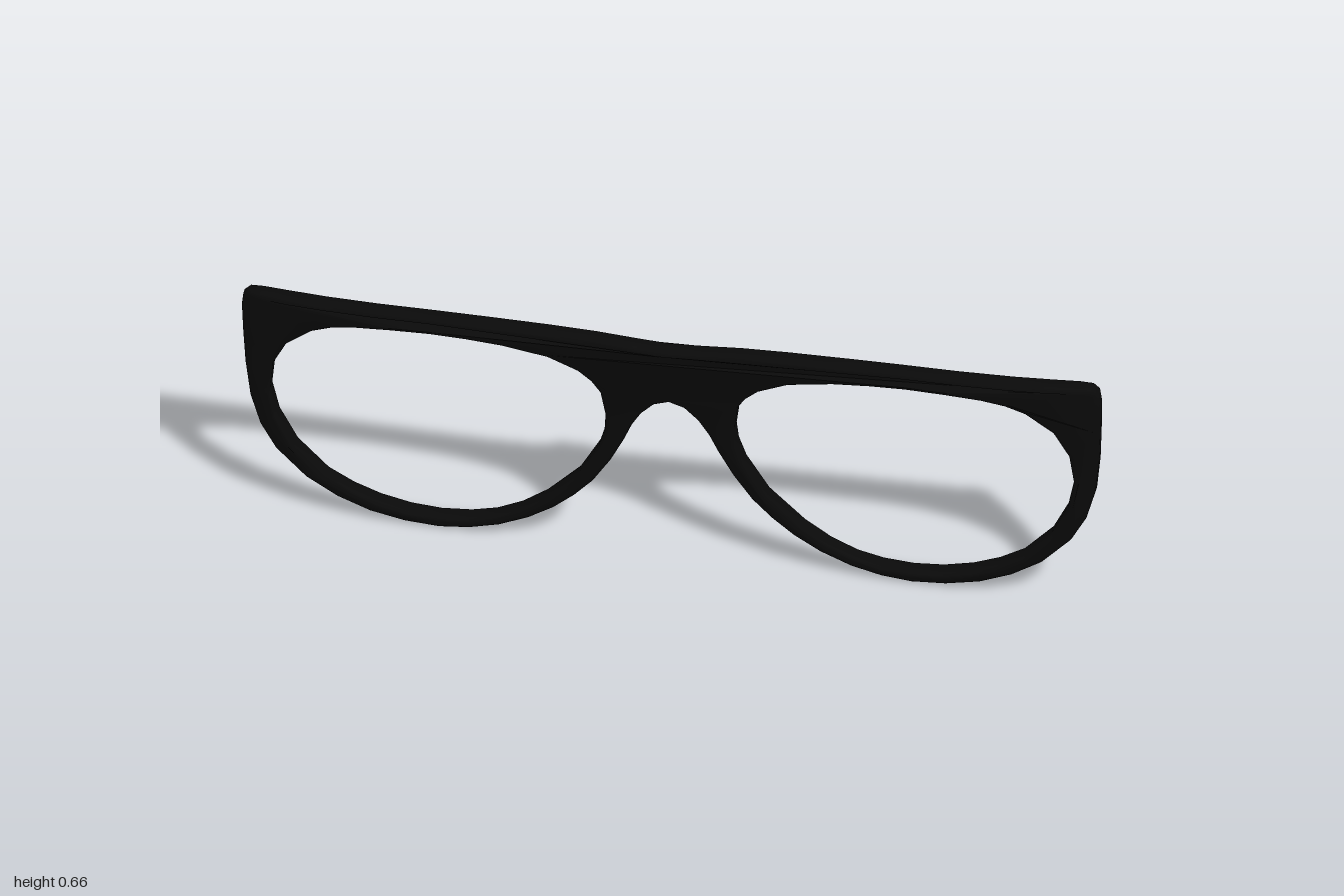
import * as THREE from 'three';
import { toCreasedNormals } from 'three/addons/utils/BufferGeometryUtils.js';

const material = new THREE.MeshStandardMaterial({ color: 0x0a0a0a });

// Right half of the outer outline, from the top centre round to the bridge arch
const OUTLINE = [
  [0, 0.643], [0.07, 0.647], [0.17, 0.655], [0.28, 0.659], [0.42, 0.661], [0.55, 0.662],
  [0.68, 0.661], [0.8, 0.658], [0.89, 0.654], [0.95, 0.651], [0.982, 0.647], [0.996, 0.632],
  [1, 0.6], [0.998, 0.52], [0.994, 0.43], [0.984, 0.335], [0.962, 0.255], [0.926, 0.187],
  [0.857, 0.11], [0.785, 0.06], [0.71, 0.026], [0.63, 0.007], [0.55, 0.001], [0.48, 0.009],
  [0.41, 0.029], [0.34, 0.063], [0.28, 0.105], [0.23, 0.152], [0.185, 0.205], [0.143, 0.275],
  [0.11, 0.345], [0.09, 0.395], [0.066, 0.437], [0.035, 0.471], [0, 0.484],
];

// Lens opening on the same side
const LENS = [
  [0.15, 0.42], [0.16, 0.49], [0.18, 0.522], [0.21, 0.55], [0.28, 0.583], [0.385, 0.602],
  [0.47, 0.609], [0.555, 0.612], [0.645, 0.609], [0.73, 0.602], [0.785, 0.59], [0.83, 0.57],
  [0.893, 0.515], [0.927, 0.445], [0.936, 0.365], [0.92, 0.285], [0.88, 0.2], [0.81, 0.12],
  [0.752, 0.083], [0.69, 0.056], [0.62, 0.038], [0.55, 0.032], [0.48, 0.038], [0.42, 0.054],
  [0.36, 0.085], [0.3, 0.132], [0.22, 0.22], [0.17, 0.315], [0.154, 0.37],
];

const toVectors = (points, side = 1) => points.map(([x, y]) => new THREE.Vector2(side * x, y));

// Centre depth of the frame: leaning forward at the top, upper corners swept back
function frameZ(x, y) {
  const t = Math.max(0, (Math.abs(x) - 0.6) / 0.4);
  const sweep = 0.042 * Math.pow(t, 2.3) * Math.pow(Math.max(0, y) / 0.65, 1.2);
  return -0.051 + 0.158 * (y - 0.01) - sweep;
}

function makeFrame() {
  const left = toVectors(OUTLINE.slice(1, -1), -1).reverse();
  const shape = new THREE.Shape([...toVectors(OUTLINE), ...left].reverse());
  for (const side of [1, -1]) shape.holes.push(new THREE.Path(toVectors(LENS, side)));

  const bevel = 0.012, depth = 0.05;
  const geometry = new THREE.ExtrudeGeometry(shape, {
    depth: depth - 2 * bevel, steps: 1,
    bevelEnabled: true, bevelSize: bevel, bevelThickness: bevel,
    bevelOffset: -bevel, bevelSegments: 3,
  });
  geometry.translate(0, 0, bevel - depth / 2);

  // Lean and sweep the flat plate, thinning it towards the outer edges
  const p = geometry.attributes.position;
  for (let i = 0; i < p.count; i++) {
    const x = p.getX(i), y = p.getY(i);
    const edge = Math.max(0, (Math.abs(x) - 0.9) / 0.1);
    p.setZ(i, p.getZ(i) * (1 - 0.35 * edge * edge) + frameZ(x, y));
  }
  const mesh = new THREE.Mesh(toCreasedNormals(geometry, 0.8), material);
  mesh.name = 'frameFront';
  return mesh;
}

// Saddle on the back of the bridge, lofted across x
function makeNoseSaddle() {
  // Section: [height, share of the backward depth]
  const section = [[0.622, 0], [0.605, 0.45], [0.582, 0.8], [0.567, 0.97], [0.556, 1],
    [0.544, 0.9], [0.525, 0.55], [0.512, 0.4], [0.497, 0]];
  const columns = 16, halfWidth = 0.115, rows = section.length;
  const positions = [], index = [];
  for (let c = 0; c <= columns; c++) {
    const u = (c / columns) * 2 - 1, x = u * halfWidth;
    const bulge = 1 - Math.pow(Math.abs(u), 3.5);
    for (const [y, share] of section) {
      const drop = 5 * x * x * (0.622 - y) / 0.125;
      const root = frameZ(x, y - drop) - 0.012;
      positions.push(x, y - drop, root + (-0.05 - root) * share * bulge);
    }
  }
  for (let c = 0; c < columns; c++) {
    for (let r = 0; r < rows - 1; r++) {
      const a = c * rows + r, b = a + rows;
      index.push(a, b, a + 1, b, b + 1, a + 1);
    }
  }
  const geometry = new THREE.BufferGeometry();
  geometry.setAttribute('position', new THREE.Float32BufferAttribute(positions, 3));
  geometry.setIndex(index);
  geometry.computeVertexNormals();
  const mesh = new THREE.Mesh(geometry, material);
  mesh.name = 'noseSaddle';
  return mesh;
}

export function createModel() {
  const group = new THREE.Group();
  group.name = 'glassesFrame';
  group.add(makeFrame(), makeNoseSaddle());
  return group;
}
